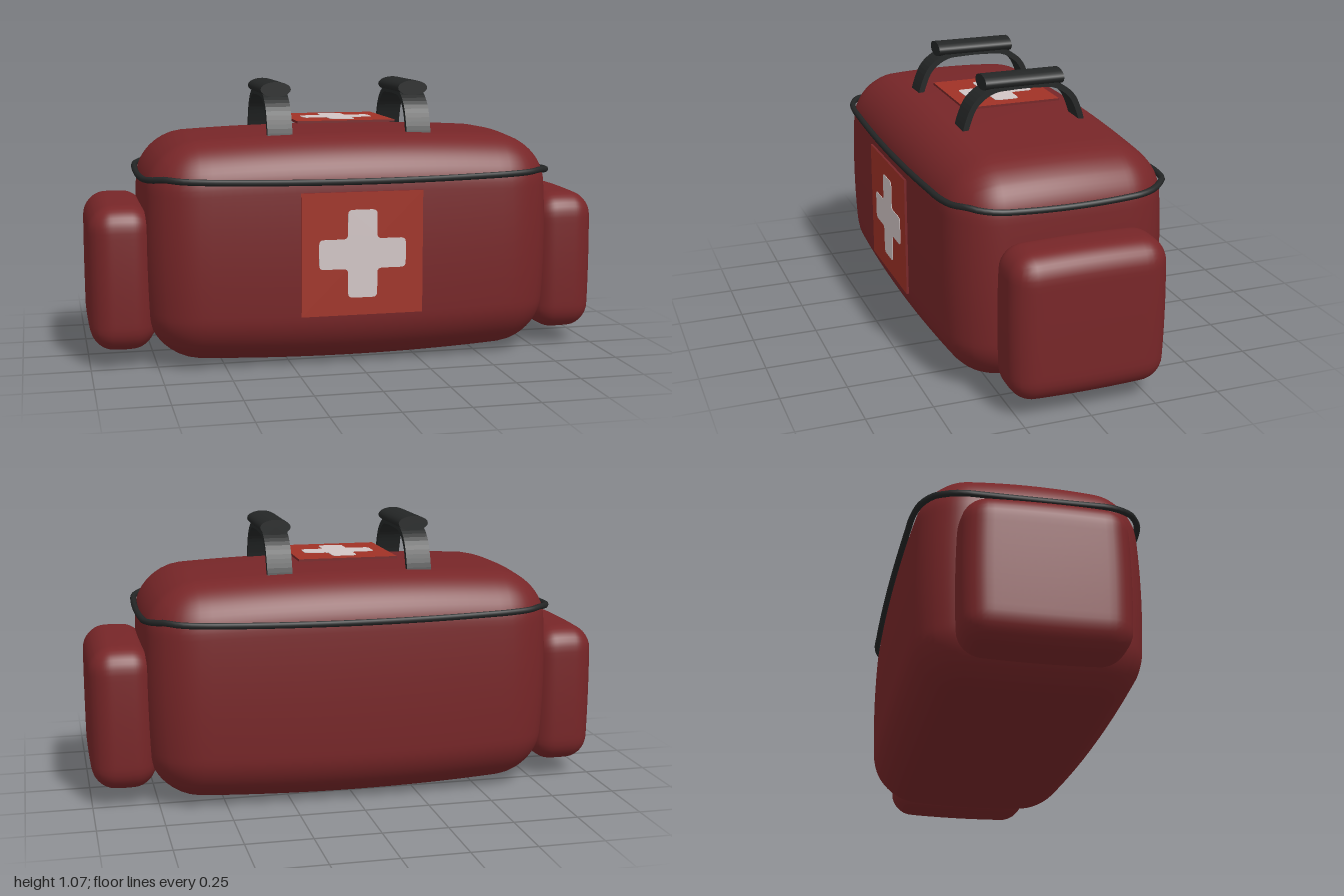
import * as THREE from 'three';
import { mergeVertices } from 'three/addons/utils/BufferGeometryUtils.js';

const mat = (name, color) => {
  const m = new THREE.MeshStandardMaterial({ color });
  m.name = name;
  return m;
};

// Rounds the corners of a box point, then swells the faces like stuffed fabric
function soften(p, half, radius, bulge) {
  const inner = half.clone().subScalar(radius);
  const core = p.clone().clamp(inner.clone().negate(), inner);
  const d = p.clone().sub(core);
  const q = core.add(d.setLength(radius));
  const [u, v, w] = [(q.x / half.x) ** 2, (q.y / half.y) ** 2, (q.z / half.z) ** 2];
  q.x *= 1 - bulge * 0.4 * (v + w);
  q.y *= 1 - bulge * (u + 0.7 * w);
  q.z *= 1 - bulge * 0.7 * (u + v);
  return q;
}

function softBox(half, radius, bulge, n) {
  let g = new THREE.BoxGeometry(half.x * 2, half.y * 2, half.z * 2, n, n, n);
  g.deleteAttribute('uv');
  g.deleteAttribute('normal');
  g = mergeVertices(g, 1e-4);
  const pos = g.attributes.position;
  const p = new THREE.Vector3();
  for (let i = 0; i < pos.count; i++) {
    p.fromBufferAttribute(pos, i);
    const q = soften(p, half, radius, bulge);
    pos.setXYZ(i, q.x, q.y, q.z);
  }
  g.computeVertexNormals();
  return g;
}

// Plus sign with slightly rounded corners; l = arm reach, w = half arm width
function plusShape(l, w, r) {
  const pts = [];
  const arm = [[l, -w], [l, w], [w, w]];
  for (let k = 0; k < 4; k++) {
    for (const [x, y] of arm) {
      pts.push(new THREE.Vector2(x, y).rotateAround(new THREE.Vector2(), k * Math.PI / 2));
    }
  }
  const s = new THREE.Shape();
  pts.forEach((p, i) => {
    const prev = pts[(i + 11) % 12], next = pts[(i + 1) % 12];
    const a = prev.clone().sub(p).setLength(r).add(p);
    const b = next.clone().sub(p).setLength(r).add(p);
    if (i === 0) s.moveTo(a.x, a.y); else s.lineTo(a.x, a.y);
    s.quadraticCurveTo(p.x, p.y, b.x, b.y);
  });
  s.closePath();
  return s;
}

export function createModel() {
  const red = mat('maroon fabric', 0x772628);
  const patchRed = mat('patch red', 0xa03226);
  const white = mat('cross white', 0xd2c6c6);
  const black = mat('black webbing', 0x242626);

  const model = new THREE.Group();
  model.name = 'medicalBag';
  const add = (name, geo, material, x = 0, y = 0, z = 0, parent = model) => {
    const m = new THREE.Mesh(geo, material);
    m.name = name;
    m.position.set(x, y, z);
    parent.add(m);
    return m;
  };

  // Main padded body
  const half = new THREE.Vector3(0.795, 0.44, 0.433);
  const radius = 0.18, bulge = 0.065, cz = -0.007;
  add('body', softBox(half, radius, bulge, 36), red, 0, 0.44, cz);

  // Piping around the lid seam, following the body outline
  const path = [];
  const n = 16;
  const corners = [[-1, 1], [1, 1], [1, -1], [-1, -1]];
  corners.forEach(([x0, z0], k) => {
    const [x1, z1] = corners[(k + 1) % 4];
    for (let i = 0; i < n; i++) {
      const t = i / n;
      const u = x0 + (x1 - x0) * t, w = z0 + (z1 - z0) * t;
      const p = soften(new THREE.Vector3(u * half.x, 0.26, w * half.z), half, radius, bulge);
      const out = new THREE.Vector3(p.x / half.x, 0, p.z / half.z).setLength(0.008);
      p.add(out);
      p.y = 0.27 + 0.018 * (u * w) ** 2;
      path.push(p);
    }
  });
  const seam = new THREE.CatmullRomCurve3(path, true);
  add('lidPiping', new THREE.TubeGeometry(seam, 160, 0.012, 8, true), black, 0, 0.44, cz);

  // End pockets
  const pocketGeo = softBox(new THREE.Vector3(0.125, 0.28, 0.298), 0.085, 0.04, 24);
  for (const s of [-1, 1]) {
    add(s > 0 ? 'leftPocket' : 'rightPocket', pocketGeo, red, s * 0.875, 0.34, -0.01);
  }

  // Carry handles: bent strap with a padded grip
  const arc = new THREE.CatmullRomCurve3([
    [-0.238, 0.84], [-0.222, 0.9], [-0.19, 0.965], [-0.125, 1.01], [-0.06, 1.018],
    [0.06, 1.018], [0.125, 1.01], [0.19, 0.965], [0.222, 0.9], [0.238, 0.84],
  ].map(([z, y]) => new THREE.Vector3(z, y, 0)));
  const side = (d) => Array.from({ length: 41 }, (_, i) => {
    const p = arc.getPointAt(i / 40), t = arc.getTangentAt(i / 40);
    return new THREE.Vector2(p.x - t.y * d, p.y + t.x * d);
  });
  const strapShape = new THREE.Shape([...side(-0.011), ...side(0.011).reverse()]);
  const strapGeo = new THREE.ExtrudeGeometry(strapShape, { depth: 0.096, bevelEnabled: false });
  strapGeo.translate(0, 0, -0.048).rotateY(Math.PI / 2);
  const gripGeo = new THREE.CylinderGeometry(1, 1, 0.31, 20);
  gripGeo.rotateX(Math.PI / 2).scale(0.059, 0.029, 1);
  for (const s of [-1, 1]) {
    const handle = new THREE.Group();
    handle.name = s > 0 ? 'leftHandle' : 'rightHandle';
    handle.position.set(s * 0.272, 0, -0.009);
    add('strap', strapGeo, black, 0, 0, 0, handle);
    add('grip', gripGeo, black, 0, 1.036, 0, handle);
    model.add(handle);
  }

  // Cross patches, built facing +z; edges match the fabric
  const patch = (name, w, h, l, arm) => {
    const g = new THREE.Group();
    g.name = name;
    add('backing', new THREE.BoxGeometry(w, h, 0.009),
      [red, red, red, red, patchRed, red], 0, 0, 0, g);
    add('cross', new THREE.ExtrudeGeometry(plusShape(l, arm, 0.018),
      { depth: 0.002, bevelEnabled: false, curveSegments: 4 }), white, 0, 0, 0.0045, g);
    model.add(g);
    return g;
  };
  patch('frontPatch', 0.465, 0.465, 0.166, 0.056).position.set(0, 0.441, 0.434);
  const top = patch('topPatch', 0.385, 0.385, 0.138, 0.048);
  top.rotation.x = -Math.PI / 2;
  top.position.set(-0.003, 0.912, -0.012);

  return model;
}
